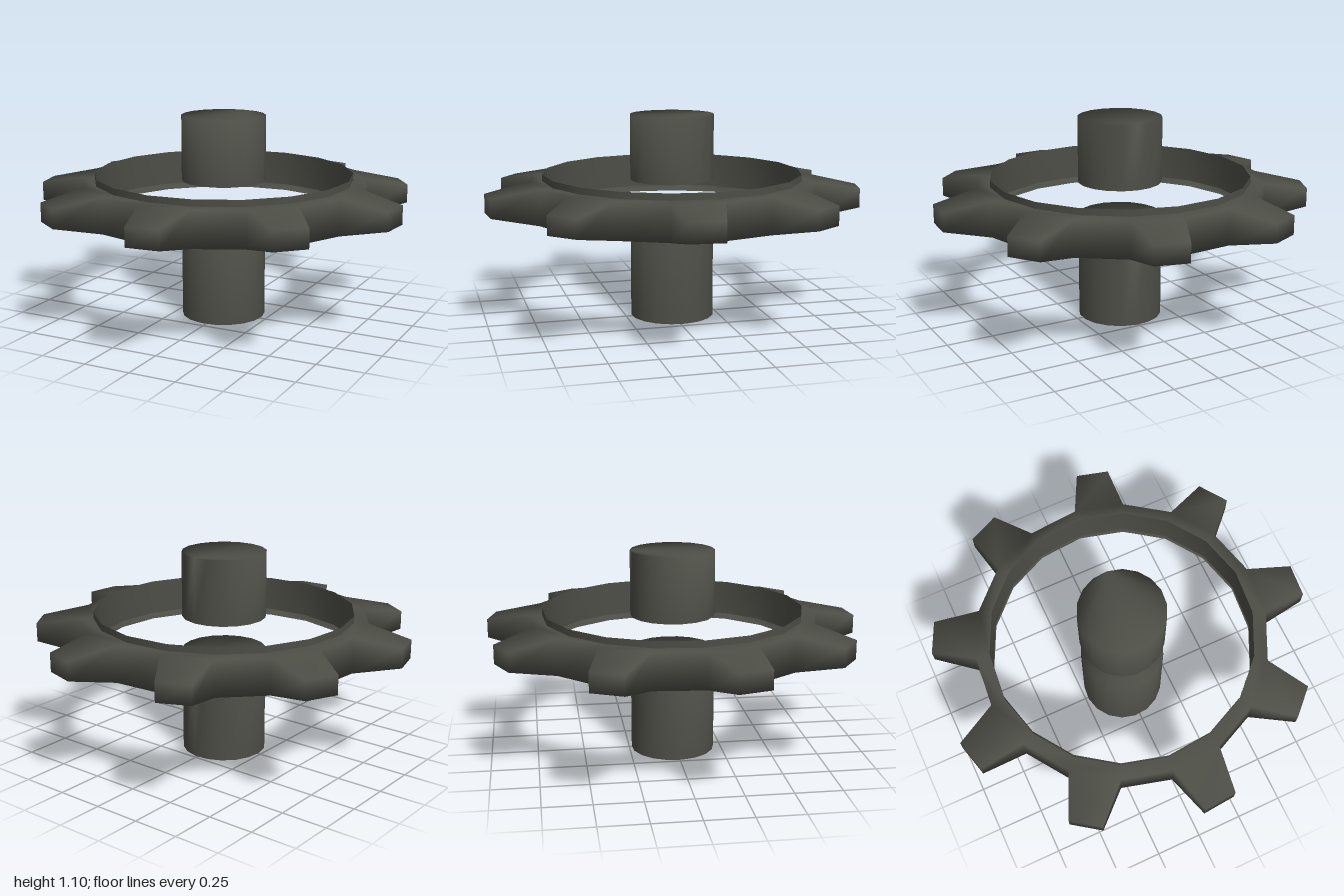
import * as THREE from 'three';

const SIDES = 18;
const STEP = (Math.PI * 2) / SIDES;
const START = THREE.MathUtils.degToRad(5.2);
const CX = -0.008, CZ = -0.01;

// point on a circle around the axle, angle measured clockwise from the back
const point = (r, y, angle) => [CX + r * Math.sin(angle), y, CZ - r * Math.cos(angle)];

function smoothGeometry(positions, indices) {
  const g = new THREE.BufferGeometry();
  g.setAttribute('position', new THREE.Float32BufferAttribute(positions, 3));
  g.setIndex(indices);
  g.computeVertexNormals();
  return g;
}

// upright wall of 18 sides, with an optional softly shaded cap on top
function tube(radius, bottom, top, capped) {
  const pos = [], idx = [];
  for (let k = 0; k < SIDES; k++) {
    const a = START + k * STEP;
    pos.push(...point(radius, top, a), ...point(radius, bottom, a));
  }
  for (let k = 0; k < SIDES; k++) {
    const t = 2 * k, u = 2 * ((k + 1) % SIDES);
    idx.push(t, u, u + 1, t, u + 1, t + 1);
    if (capped && k > 0 && k < SIDES - 1) idx.push(0, u, t);
  }
  return smoothGeometry(pos, idx);
}

// ring body with nine tapered teeth
function toothedRing() {
  const pos = [], idx = [];
  const quad = (a, b, c, d) => idx.push(a, b, c, a, c, d);
  for (let k = 0; k < SIDES; k++) {
    const a = START + k * STEP;
    // tooth tips are half as wide as their roots
    const tip = a + (k % 2 === 0 ? STEP : -STEP) / 4;
    pos.push(
      ...point(0.697, 0.755, a), ...point(0.771, 0.755, a), ...point(1.004, 0.71, tip),
      ...point(1.004, 0.61, tip), ...point(0.771, 0.565, a), ...point(0.697, 0.565, a));
  }
  for (let k = 0; k < SIDES; k++) {
    const p = 6 * k, q = 6 * ((k + 1) % SIDES);
    const tooth = k % 2 === 0;
    const path = tooth ? [0, 1, 2, 3, 4, 5] : [0, 1, 4, 5];
    for (let s = 0; s < path.length - 1; s++) {
      quad(p + path[s], q + path[s], q + path[s + 1], p + path[s + 1]);
    }
    if (tooth) {
      quad(p + 1, p + 2, p + 3, p + 4);
      quad(q + 4, q + 3, q + 2, q + 1);
    }
  }
  return smoothGeometry(pos, idx);
}

export function createModel() {
  const group = new THREE.Group();
  group.name = 'gearOnAxle';
  const darkIron = new THREE.MeshStandardMaterial({ color: 0x4d4e46, side: THREE.DoubleSide });
  darkIron.name = 'darkIron';

  const add = (name, geometry) => {
    const mesh = new THREE.Mesh(geometry, darkIron);
    mesh.name = name;
    group.add(mesh);
  };

  add('toothedRing', toothedRing());
  // inner wall stands slightly above the ring
  add('innerRim', tube(0.696, 0.6, 0.79, false));
  // axle in two halves, with a gap at the height of the ring
  add('lowerAxle', tube(0.226, 0, 0.565, true));
  add('upperAxle', tube(0.226, 0.75, 1.1, true));
  return group;
}
